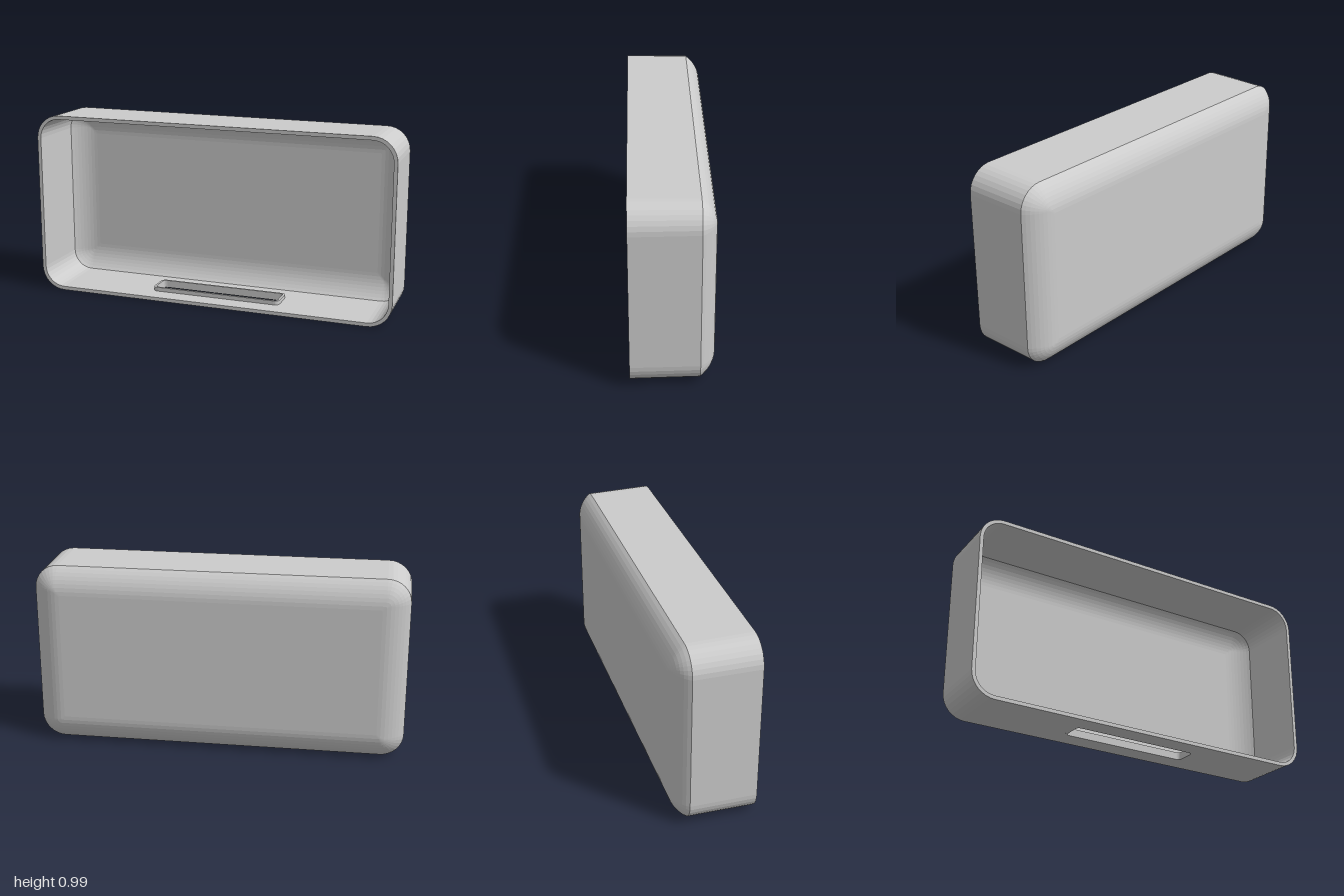
import * as THREE from 'three';

const HALF_W = 1, HALF_H = 0.497, CORNER = 0.13, WALL = 0.02;
const FRONT = 0.211, CREASE = -0.135, BACK = -0.211, DRAFT = 0.005;
const STEPS = 8; // segments per rounded corner

// Rounded rectangle ring, counter-clockwise from the front, inset from the outer size
function ring(inset, z) {
  const r = Math.max(CORNER - inset, 0.008);
  const cx = HALF_W - inset - r, cy = HALF_H - inset - r;
  const points = [];
  [[1, 1], [-1, 1], [-1, -1], [1, -1]].forEach(([sx, sy], q) => {
    for (let i = 0; i <= STEPS; i++) {
      const a = (q + i / STEPS) * Math.PI / 2;
      points.push([sx * cx + r * Math.cos(a), HALF_H + sy * cy + r * Math.sin(a), z]);
    }
  });
  return points;
}

// Rounded shoulder from the crease to the flat back, as [inset, z] pairs
function shoulder(inset, width, backZ) {
  const depth = CREASE - backZ;
  const sweep = 2 * Math.atan(depth / width), radius = width / Math.sin(sweep);
  return Array.from({ length: STEPS + 1 }, (_, i) => {
    const a = sweep * (1 - i / STEPS);
    return [inset + width - radius * Math.sin(a), backZ + radius * (1 - Math.cos(a))];
  });
}

// Rounded rectangle outline for the slot, drawn in x and z
function outline(Type, hx, z0, z1, r) {
  const s = new Type();
  s.moveTo(-hx + r, z0);
  s.lineTo(hx - r, z0);
  s.quadraticCurveTo(hx, z0, hx, z0 + r);
  s.lineTo(hx, z1 - r);
  s.quadraticCurveTo(hx, z1, hx - r, z1);
  s.lineTo(-hx + r, z1);
  s.quadraticCurveTo(-hx, z1, -hx, z1 - r);
  s.lineTo(-hx, z0 + r);
  s.quadraticCurveTo(-hx, z0, -hx + r, z0);
  return s;
}

// Upright extrusion of an x-z shape
function slab(shape, y, height) {
  const g = new THREE.ExtrudeGeometry(shape, { depth: height, bevelEnabled: false, curveSegments: 5 });
  return g.rotateX(Math.PI / 2).translate(0, y + height, 0);
}

// Open tray: inside from back to front, over the rim, then outside to the back
function shellGeometry() {
  const inner = shoulder(WALL + DRAFT, 0.14, BACK + WALL).reverse();
  const outer = shoulder(DRAFT, 0.145, BACK);
  const profile = [...inner, [WALL, FRONT], [0, FRONT], ...outer];
  const rings = profile.map(([inset, z]) => ring(inset, z));
  const n = rings[0].length, last = rings.length - 1;
  const index = [];
  const bottomEdge = 3 * (STEPS + 1) - 1;
  const wallBands = [inner.length - 1, inner.length + 1];
  for (let k = 0; k < last; k++) {
    for (let i = 0; i < n; i++) {
      // the floor panel with the slot fills this gap
      if (i === bottomEdge && wallBands.includes(k)) continue;
      const j = (i + 1) % n, a = k * n + i, b = k * n + j;
      index.push(a, a + n, b, b, a + n, b + n);
    }
  }
  // Flat inside and outside of the back
  const positions = [...rings.flat(), [0, HALF_H, profile[0][1]], [0, HALF_H, BACK]];
  const c = rings.length * n;
  for (let i = 0; i < n; i++) {
    const j = (i + 1) % n;
    index.push(c, i, j, c + 1, last * n + j, last * n + i);
  }
  const g = new THREE.BufferGeometry();
  g.setAttribute('position', new THREE.Float32BufferAttribute(positions.flat(), 3));
  g.setIndex(index);
  const flat = g.toNonIndexed();
  flat.computeVertexNormals();
  return flat;
}

// Floor panel between the bottom corners, tilted slightly to follow the wall draft
function floorGeometry() {
  const hx = HALF_W - CORNER;
  const shape = new THREE.Shape();
  shape.moveTo(-hx, CREASE);
  shape.lineTo(hx, CREASE);
  shape.lineTo(hx, FRONT);
  shape.lineTo(-hx, FRONT);
  shape.closePath();
  shape.holes.push(outline(THREE.Path, 0.366, -0.032, 0.112, 0.03));
  const g = slab(shape, 0, WALL);
  const p = g.attributes.position;
  for (let i = 0; i < p.count; i++) {
    p.setY(i, p.getY(i) + DRAFT * (FRONT - p.getZ(i)) / (FRONT - CREASE));
  }
  g.computeVertexNormals();
  return g;
}

// Raised collar lining the slot
function collarGeometry() {
  const shape = outline(THREE.Shape, 0.366, -0.032, 0.112, 0.03);
  shape.holes.push(outline(THREE.Path, 0.354, -0.02, 0.1, 0.022));
  return slab(shape, 0.0025, 0.041);
}

export function createModel() {
  const group = new THREE.Group();
  group.name = 'openCase';
  const material = new THREE.MeshStandardMaterial({ color: 0xcccccc, flatShading: true });
  const parts = { shell: shellGeometry(), floorPanel: floorGeometry(), slotCollar: collarGeometry() };
  for (const [name, geometry] of Object.entries(parts)) {
    const mesh = new THREE.Mesh(geometry, material);
    mesh.name = name;
    group.add(mesh);
  }
  return group;
}
